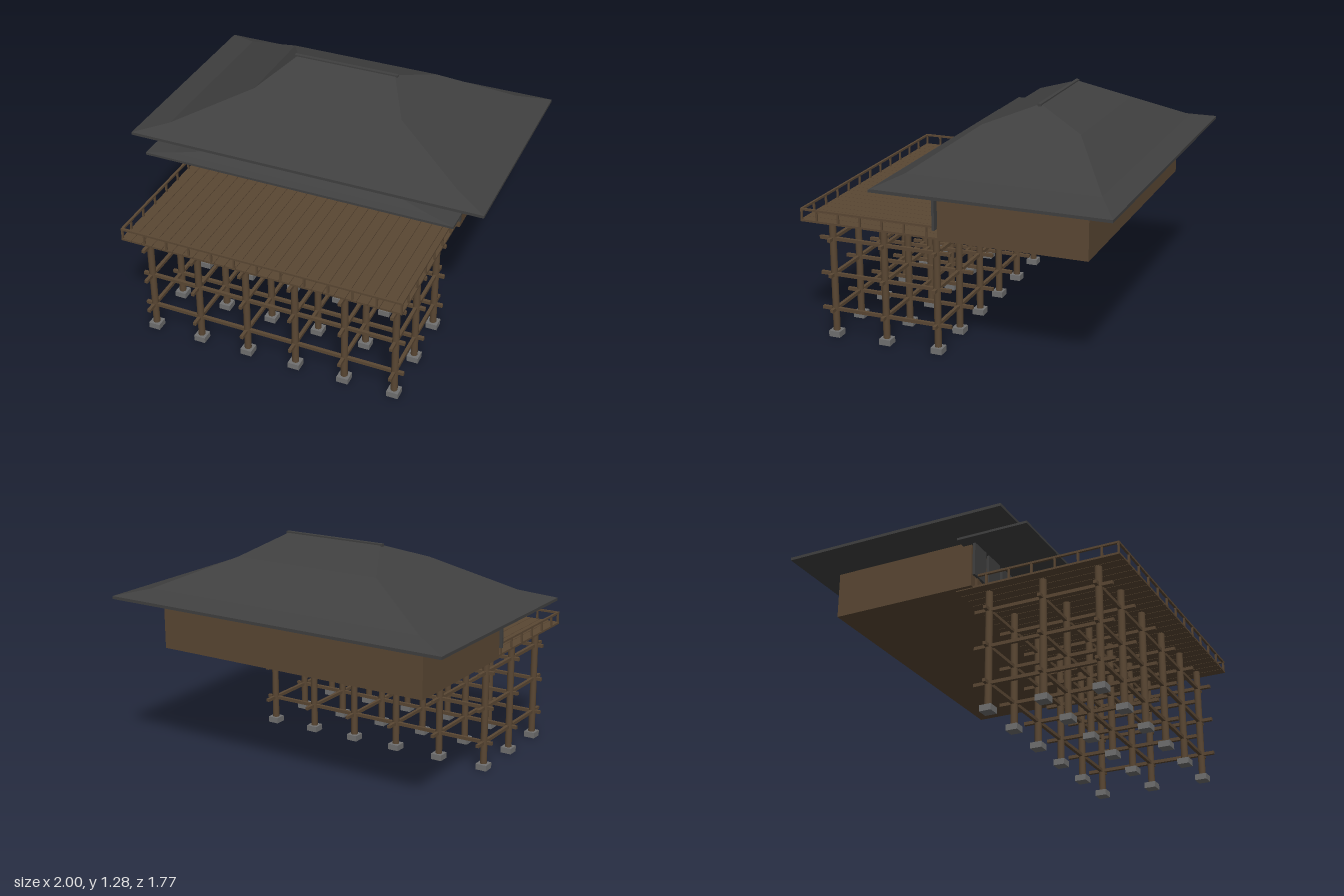
import * as THREE from 'three';

const material = (name, color) => {
  const m = new THREE.MeshStandardMaterial({ color });
  m.name = name;
  return m;
};

// Hipped roof from rectangular rings [halfWidth, y, halfDepth], lowest first, with a flat soffit
function hipRoofGeometry(rings) {
  const pos = [];
  const corners = rings.map(([w, y, d]) => [[-w, y, d], [w, y, d], [w, y, -d], [-w, y, -d]]);
  const quad = (a, b, c, d) => pos.push(...a, ...b, ...c, ...a, ...c, ...d);
  for (let i = 0; i < corners.length - 1; i++) {
    const lo = corners[i], hi = corners[i + 1];
    for (let k = 0; k < 4; k++) {
      const n = (k + 1) % 4;
      quad(lo[k], lo[n], hi[n], hi[k]);
    }
  }
  const base = corners[0];
  quad(base[0], base[3], base[2], base[1]);
  const g = new THREE.BufferGeometry();
  g.setAttribute('position', new THREE.Float32BufferAttribute(pos, 3));
  g.computeVertexNormals();
  return g;
}

export function createModel() {
  const model = new THREE.Group();
  model.name = 'hillsideStageHall';
  const wood = material('brown timber', 0x5a4733);
  const tile = material('dark grey tile', 0x404040);
  const stone = material('grey stone', 0x707070);

  const section = (name) => {
    const g = new THREE.Group();
    g.name = name;
    model.add(g);
    return g;
  };
  const add = (parent, name, geometry, mat, x, y, z) => {
    const m = new THREE.Mesh(geometry, mat);
    m.name = name;
    m.position.set(x, y, z);
    parent.add(m);
    return m;
  };
  // Box given by its limits on each axis
  const box = (parent, name, mat, [x0, x1], [y0, y1], [z0, z1]) =>
    add(parent, name, new THREE.BoxGeometry(x1 - x0, y1 - y0, z1 - z0), mat,
      (x0 + x1) / 2, (y0 + y1) / 2, (z0 + z1) / 2);
  const around = (c, half) => [c - half, c + half];

  // Supporting framework: pillars on stone footings, tied by crossing beams
  const frame = section('supportFrame');
  const columnsX = [-0.7, -0.42, -0.14, 0.14, 0.42, 0.7];
  const rowsZ = [0.14, 0.44, 0.74];
  const pillar = new THREE.CylinderGeometry(0.019, 0.019, 0.63, 12);
  for (const x of columnsX) {
    for (const z of rowsZ) {
      add(frame, 'pillar', pillar, wood, x, 0.345, z);
      box(frame, 'footing', stone, around(x, 0.032), [0, 0.033], around(z, 0.032));
    }
  }
  for (const y of [0.155, 0.355, 0.555]) {
    for (const z of rowsZ) box(frame, 'crossBeam', wood, [-0.75, 0.75], around(y, 0.009), around(z, 0.009));
    for (const x of columnsX) box(frame, 'depthBeam', wood, around(x, 0.009), around(y, 0.009), [0.06, 0.815]);
  }

  // Stage floor of separate planks
  const deck = section('deck');
  for (let i = 0; i < 26; i++) {
    box(deck, 'plank', wood, around(-0.75 + i * 0.06, 0.0285), [0.657, 0.668], [-0.01, 0.885]);
  }

  // Railing along the front and both sides
  const railing = section('railing');
  const railX = 0.773, railZ = 0.879, railY = [0.718, 0.729];
  box(railing, 'frontRail', wood, [-0.779, 0.779], railY, around(railZ, 0.006));
  for (let i = 0; i <= 12; i++) {
    box(railing, 'railPost', wood, around(-railX + (i * 2 * railX) / 12, 0.005), [0.666, 0.72], around(railZ, 0.005));
  }
  for (const s of [-1, 1]) {
    box(railing, 'sideRail', wood, around(s * railX, 0.006), railY, [0.1, railZ]);
    for (let i = 0; i < 6; i++) {
      box(railing, 'railPost', wood, around(s * railX, 0.005), [0.666, 0.72], around(0.161 + i * 0.126, 0.005));
    }
  }

  // Hall body with a row of hanging shutters in front
  const hall = section('hall');
  box(hall, 'hallWalls', wood, [-0.8, 0.8], [0.662, 0.913], [-0.71, 0.088]);
  for (let i = -5; i <= 5; i++) {
    box(hall, 'shutter', tile, around(i * 0.15, 0.06), [0.716, 0.905], [0.1, 0.114]);
  }
  for (let i = 0; i < 6; i++) {
    box(hall, 'porchPost', wood, around(-0.755 + i * 0.302, 0.01), [0.664, 0.95], [0.09, 0.105]);
  }

  // Main roof, flaring out towards the eaves
  const roofs = section('roofs');
  add(roofs, 'mainRoof', hipRoofGeometry([
    [1, 0.946, 0.622], [1, 0.962, 0.622], [0.82, 1.005, 0.512],
    [0.425, 1.18, 0.267], [0.285, 1.278, 0.004],
  ]), tile, 0, 0, -0.267);
  box(roofs, 'ridgeCap', tile, [-0.3, 0.3], [1.27, 1.284], around(-0.267, 0.01));

  // Lower roof over the porch
  add(roofs, 'porchRoof', hipRoofGeometry([
    [0.87, 0.897, 0.197], [0.87, 0.91, 0.197], [0.72, 0.922, 0.155],
    [0.52, 0.95, 0.1], [0.42, 0.968, 0.004],
  ]), tile, 0, 0, 0.237);

  return model;
}
